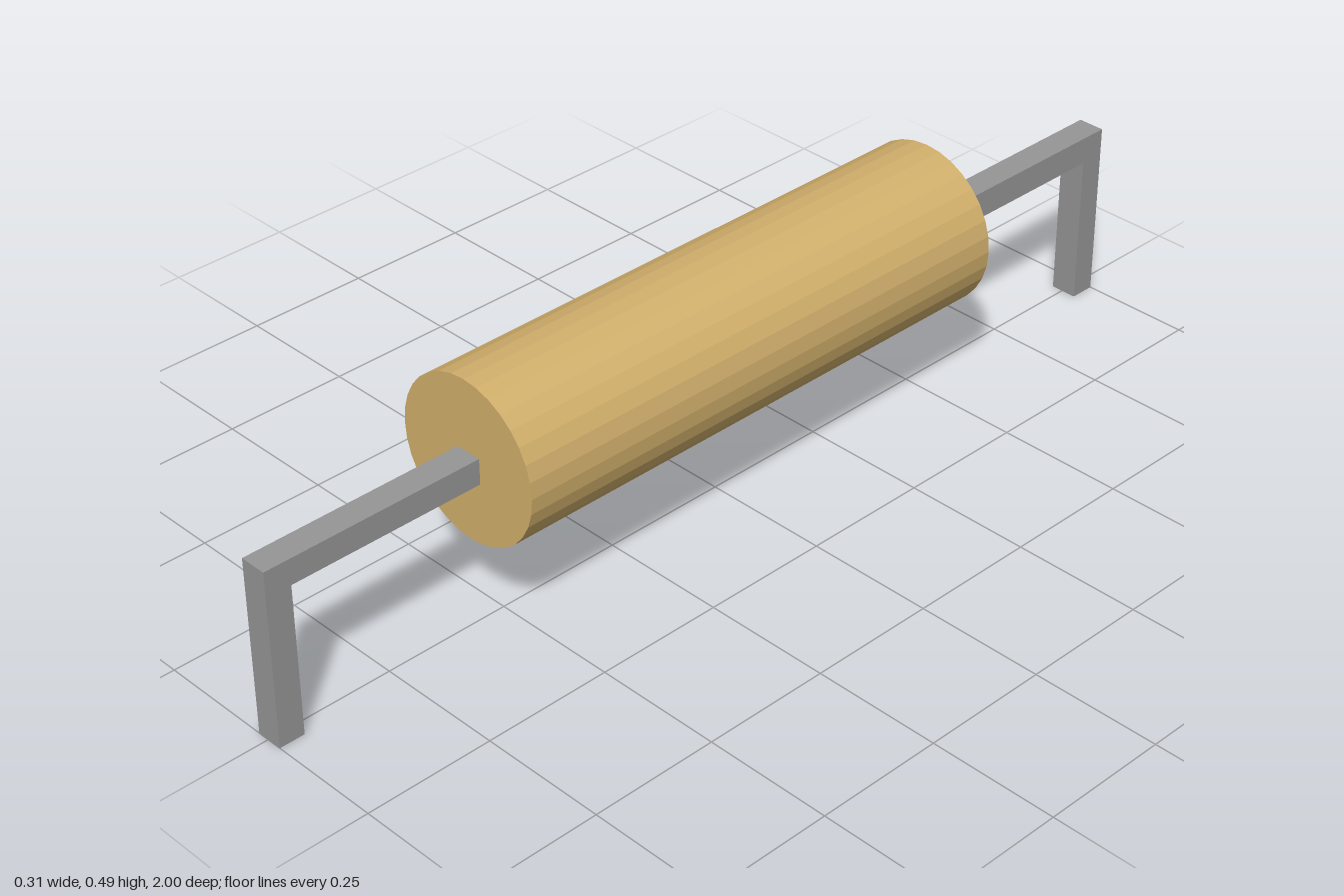
import * as THREE from 'three';

export function createModel() {
  const model = new THREE.Group();
  const tan = new THREE.MeshStandardMaterial({ color: 0xd2b06c });
  tan.name = 'tan';
  const grey = new THREE.MeshStandardMaterial({ color: 0x969696 });
  grey.name = 'grey';

  // Faceted cylindrical body lying along z
  const bodyGeometry = new THREE.CylinderGeometry(0.157, 0.157, 1.096, 32).toNonIndexed();
  bodyGeometry.computeVertexNormals();
  const body = new THREE.Mesh(bodyGeometry, tan);
  body.name = 'body';
  body.rotation.x = Math.PI / 2;
  body.position.set(0, 0.33, 0.015);
  model.add(body);

  // Bent square lead: an L profile in (z, y), extruded across x
  function addLead(name, side, bodyEnd, top) {
    const outer = side, inner = side * 0.95, under = 0.297;
    const profile = new THREE.Shape([
      [outer, 0], [outer, top], [bodyEnd, top],
      [bodyEnd, under], [inner, under], [inner, 0],
    ].map(([z, y]) => new THREE.Vector2(-z, y)));
    const geometry = new THREE.ExtrudeGeometry(profile, { depth: 0.053, bevelEnabled: false });
    geometry.rotateY(Math.PI / 2);
    const lead = new THREE.Mesh(geometry, grey);
    lead.name = name;
    lead.position.x = -0.023;
    model.add(lead);
  }
  addLead('frontLead', 1, 0.56, 0.347);
  addLead('backLead', -1, -0.53, 0.351);

  return model;
}
